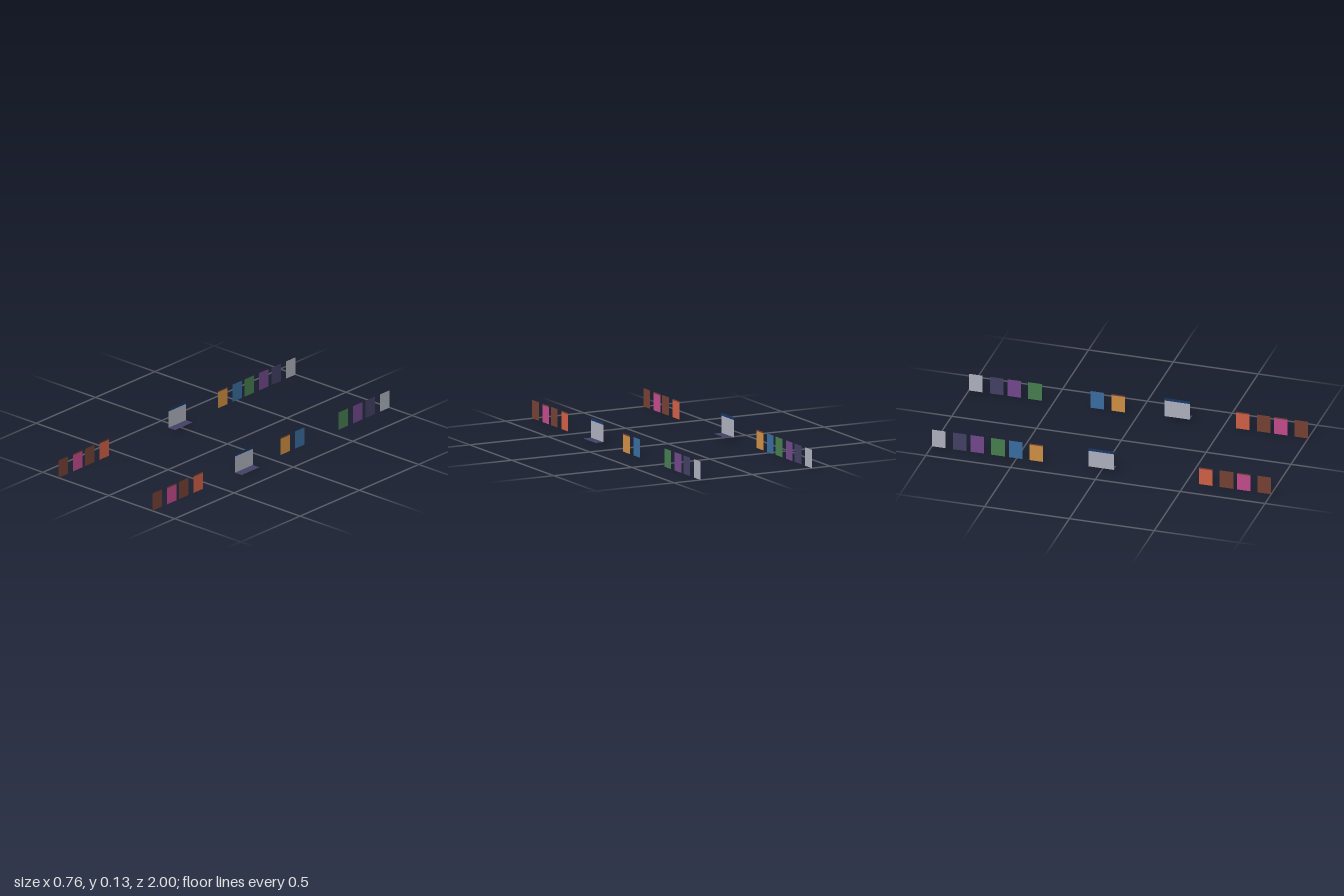
import * as THREE from 'three';

export function createModel() {
  const model = new THREE.Group();
  model.name = 'panelRows';

  const colours = {
    brown: 0x743f33, pink: 0xc24a8a, coral: 0xcf5f45, amber: 0xce8e43, blue: 0x386c9e,
    green: 0x457d4e, purple: 0x70478a, navy: 0x434064, grey: 0xacb0bc, deepBlue: 0x17386a,
  };
  const mats = {};
  for (const [name, color] of Object.entries(colours)) {
    mats[name] = new THREE.MeshStandardMaterial({ color, side: THREE.DoubleSide });
    mats[name].name = name;
  }

  // Upright sheet facing +x, spanning y0..y1 and centred on z
  function sheet(parent, name, colour, x, z, width, y0, y1) {
    const mesh = new THREE.Mesh(new THREE.PlaneGeometry(width, y1 - y0), mats[colour]);
    mesh.rotation.y = Math.PI / 2;
    mesh.position.set(x, (y0 + y1) / 2, z);
    mesh.name = name;
    parent.add(mesh);
  }

  // Small coloured panel; some carry a thin brown top edge
  function smallPanel(parent, colour, x, z) {
    const edged = ['pink', 'coral', 'amber'].includes(colour);
    const split = edged ? 0.098 : 0.106;
    sheet(parent, colour + 'Panel', colour, x, z, 0.08, 0, split);
    if (edged) sheet(parent, colour + 'PanelTopEdge', 'brown', x, z, 0.08, split, 0.106);
  }

  // Large screen with a blue top band and a flat ledge at its foot
  function screenWithLedge(parent, x, z) {
    const group = new THREE.Group();
    group.name = 'screenWithLedge';
    sheet(group, 'screen', 'grey', x, z, 0.15, 0.013, 0.112);
    sheet(group, 'screenTopBand', 'deepBlue', x, z, 0.15, 0.112, 0.128);
    const ledge = new THREE.Mesh(new THREE.PlaneGeometry(0.05, 0.15), mats.navy);
    ledge.rotation.x = -Math.PI / 2;
    ledge.position.set(x + 0.025, 0.013, z);
    ledge.name = 'ledge';
    group.add(ledge);
    parent.add(group);
  }

  // Panels found in both rows, as [colour, z]
  const shared = [
    ['brown', 0.96], ['pink', 0.838], ['brown', 0.737], ['coral', 0.614],
    ['green', -0.61], ['purple', -0.732], ['navy', -0.836], ['grey', -0.96],
  ];
  const rows = [
    { name: 'leftRow', x: 0.33, screenZ: 0.228, extra: [['amber', -0.12], ['blue', -0.242]] },
    { name: 'rightRow', x: -0.382, screenZ: -0.002, extra: [['amber', -0.384], ['blue', -0.506]] },
  ];
  for (const { name, x, screenZ, extra } of rows) {
    const row = new THREE.Group();
    row.name = name;
    for (const [colour, z] of [...shared, ...extra]) smallPanel(row, colour, x, z);
    screenWithLedge(row, x, screenZ);
    model.add(row);
  }
  return model;
}
